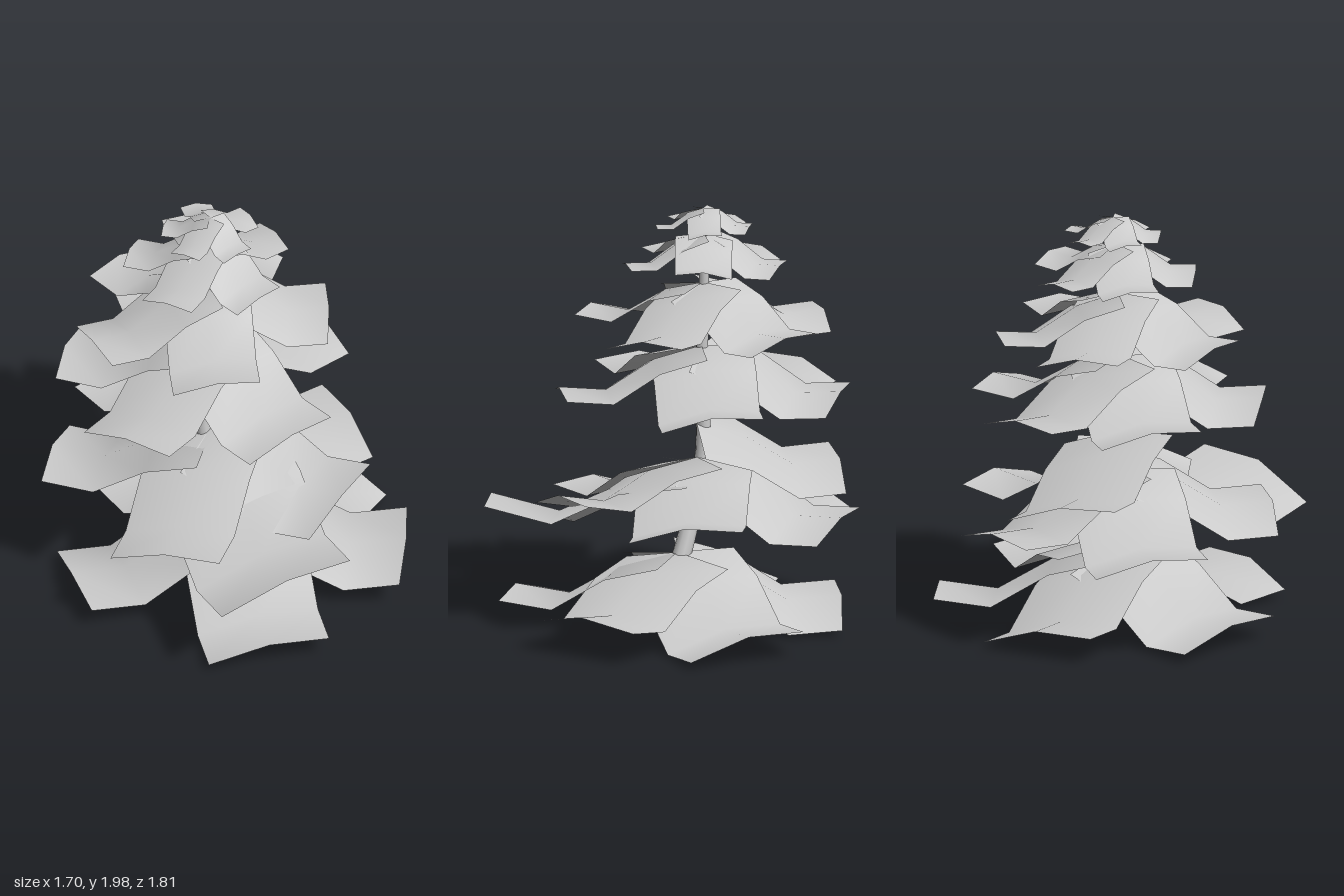
import * as THREE from 'three';

const material = new THREE.MeshStandardMaterial({ color: 0xcccccc, side: THREE.DoubleSide });

// Each tier: attachment point on the trunk, bough reach, width and drop, and
// the heading of every bough in degrees. An object marks an irregular bough.
const TIERS = [
  { base: [0.03, 0.31, -0.04], reach: 0.78, width: 0.57, drop: 0.215, boughs: [
    { yaw: -68, reach: 0.81, roll: -0.045 },
    { yaw: -10, drop: 0.145, roll: -0.01 },
    65,
    150,
    { yaw: 222, reach: 0.75, roll: -0.05 },
  ] },
  { base: [-0.09, 0.75, -0.05], reach: 0.71, width: 0.53, drop: 0.22, boughs: [
    { yaw: 55, reach: 0.95, width: 0.64, lift: -0.1, drop: 0.125, roll: -0.075 },
    { yaw: 94, roll: -0.045 },
    { yaw: 181, reach: 0.745, lift: -0.03 },
    { yaw: 217, reach: 0.66, width: 0.55, lift: 0.16, drop: 0.19, roll: -0.055 },
    248,
    { yaw: -40, drop: 0.16 },
    { yaw: 19, drop: 0.1, roll: -0.05 },
  ] },
  { base: [-0.12, 1.285, -0.05], reach: 0.655, width: 0.475, drop: 0.18, boughs: [180, 39, 110, 240, -49] },
  { base: [-0.12, 1.595, -0.06], reach: 0.565, width: 0.405, drop: 0.16, boughs: [213, -15, -86, 71, 142] },
  { base: [-0.115, 1.845, -0.07], reach: 0.365, width: 0.265, drop: 0.125, boughs: [
    182,
    { yaw: -44, drop: 0.095, roll: 0.01 },
    35,
    107,
    244,
  ] },
  { base: [-0.1, 1.98, -0.08], reach: 0.218, width: 0.155, drop: 0.075, boughs: [177, 239, -47, 41, 109] },
];

// A bough is a sheet ridged along its middle, drooping and turned up at the tip.
function makeBough({ yaw, reach, width, drop, lift = 0, roll = -0.06 * width }) {
  const angle = THREE.MathUtils.degToRad(yaw);
  const droop = [0, 0, -0.12, 0];
  const geometry = new THREE.PlaneGeometry(2, 1, 2, 3);
  const pos = geometry.attributes.position;
  for (let i = 0; i < pos.count; i++) {
    const s = pos.getX(i);
    const t = pos.getY(i) + 0.5;
    const ridge = 1 - Math.abs(s);
    const out = reach * t * (1 + 0.02 * ridge);
    const across = (s * width) / 2;
    const y = lift - drop * t + roll * s + reach * (droop[Math.round(t * 3)] + 0.065 * ridge);
    pos.setXYZ(
      i,
      out * Math.cos(angle) - across * Math.sin(angle),
      y,
      out * Math.sin(angle) + across * Math.cos(angle),
    );
  }
  geometry.computeVertexNormals();
  const mesh = new THREE.Mesh(geometry, material);
  mesh.name = 'bough';
  return mesh;
}

// Bent trunk, narrowing toward the top, with a cut face at the foot.
function makeTrunk() {
  const curve = new THREE.CatmullRomCurve3([
    [0.08, 0.02, -0.04], [0.065, 0.18, -0.04], [-0.01, 0.4, -0.05], [-0.09, 0.63, -0.05],
    [-0.13, 0.82, -0.05], [-0.12, 1.2, -0.05], [-0.125, 1.6, -0.06], [-0.1, 1.98, -0.08],
  ].map((p) => new THREE.Vector3(...p)));
  const steps = 24, sides = 10;
  const geometry = new THREE.TubeGeometry(curve, steps, 1, sides);
  const pos = geometry.attributes.position;
  const p = new THREE.Vector3();
  for (let i = 0; i < pos.count; i++) {
    const t = Math.floor(i / (sides + 1)) / steps;
    const centre = curve.getPointAt(t);
    p.fromBufferAttribute(pos, i).sub(centre).multiplyScalar(0.05 - 0.032 * t).add(centre);
    pos.setXYZ(i, p.x, p.y, p.z);
  }
  const trunk = new THREE.Mesh(geometry, material);
  trunk.name = 'trunk';

  const foot = new THREE.Mesh(new THREE.CircleGeometry(0.05, sides), material);
  foot.name = 'trunkFoot';
  foot.position.copy(curve.getPointAt(0));
  foot.quaternion.setFromUnitVectors(new THREE.Vector3(0, 0, -1), curve.getTangentAt(0));
  return [trunk, foot];
}

export function createModel() {
  const tree = new THREE.Group();
  tree.name = 'coniferTree';
  tree.add(...makeTrunk());
  TIERS.forEach(({ base, boughs, ...shape }, i) => {
    const tier = new THREE.Group();
    tier.name = `boughTier${i + 1}`;
    tier.position.set(...base);
    boughs.forEach((bough) => {
      const own = typeof bough === 'number' ? { yaw: bough } : bough;
      tier.add(makeBough({ ...shape, ...own }));
    });
    tree.add(tier);
  });
  return tree;
}
